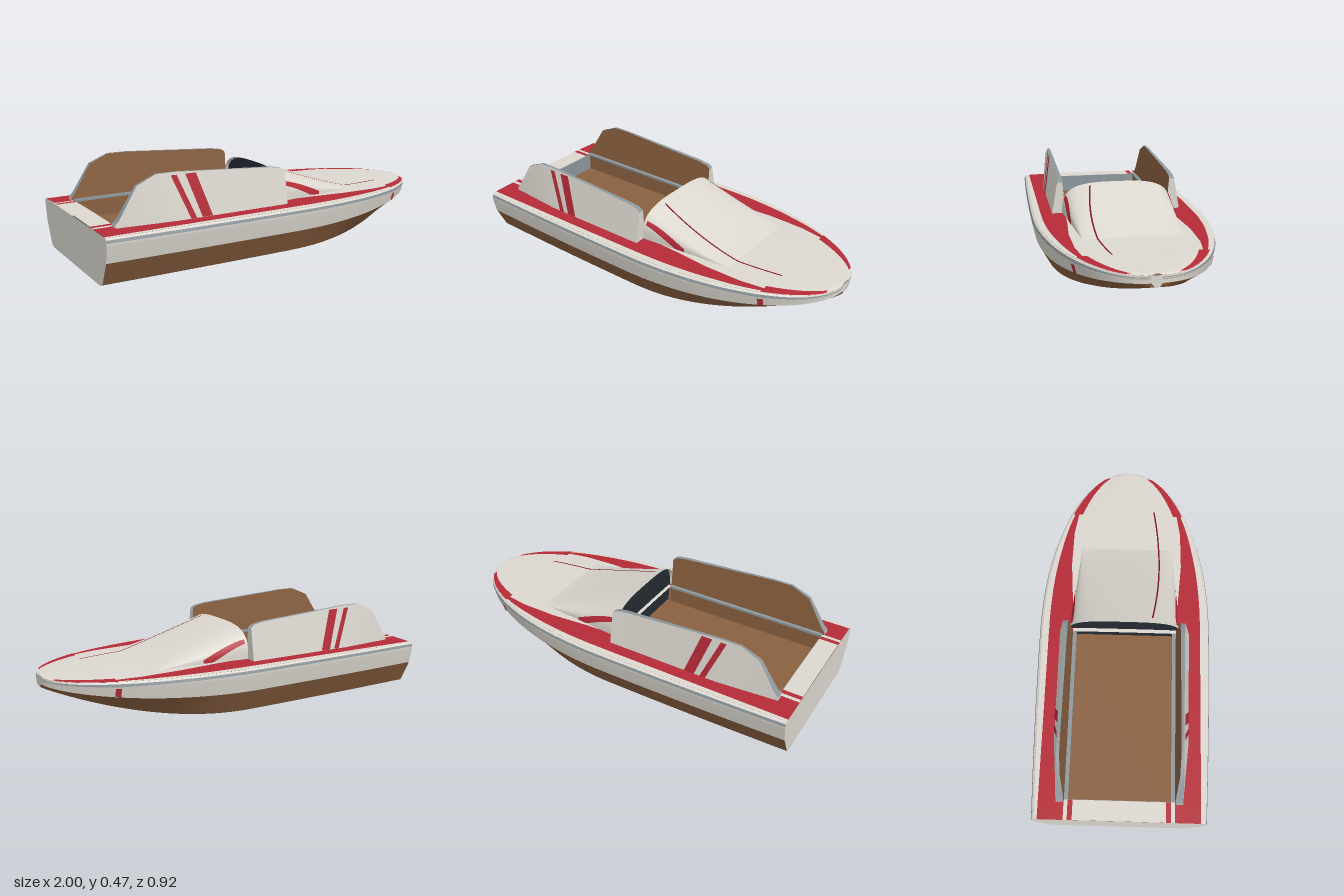
import * as THREE from 'three';

const mat = (name, color) => new THREE.MeshStandardMaterial({ name, color, side: THREE.DoubleSide });
const white = mat('white', 0xdcd8d0);
const red = mat('red', 0xb52b37);
const brown = mat('brown', 0x8a6040);
const grey = mat('blue grey', 0x8c979c);
const dark = mat('dark navy', 0x252b33);
const darkRed = mat('dark red', 0x7c1722);

const lerp = THREE.MathUtils.lerp;
const range = (a, b, n) => Array.from({ length: n + 1 }, (_, i) => lerp(a, b, i / n));

// Skin running along x: every edge is a function x => [y, z]
function sweep(name, material, xs, edges) {
  const g = new THREE.PlaneGeometry(1, 1, xs.length - 1, edges.length - 1);
  const p = g.attributes.position;
  edges.forEach((edge, r) => xs.forEach((x, i) => {
    const [y, z] = edge(x);
    p.setXYZ(r * xs.length + i, x, y, z);
  }));
  g.computeVertexNormals();
  const mesh = new THREE.Mesh(g, material);
  mesh.name = name;
  return mesh;
}

// Flat plate in the plane of constant x, from [z, y] points
function plate(name, material, x, pts) {
  const g = new THREE.ShapeGeometry(new THREE.Shape(pts.map(([z, y]) => new THREE.Vector2(z, y))));
  g.rotateY(-Math.PI / 2);
  g.translate(x, 0, 0);
  const mesh = new THREE.Mesh(g, material);
  mesh.name = name;
  return mesh;
}

function box(name, material, w, h, d, x, y, z) {
  const mesh = new THREE.Mesh(new THREE.BoxGeometry(w, h, d), material);
  mesh.position.set(x, y, z);
  mesh.name = name;
  return mesh;
}

// Piecewise linear lookup through [x, value] points
const table = (pts) => (x) => {
  let i = 1;
  while (i < pts.length - 1 && x > pts[i][0]) i++;
  const [a, b] = [pts[i - 1], pts[i]];
  return lerp(a[1], b[1], THREE.MathUtils.clamp((x - a[0]) / (b[0] - a[0]), 0, 1));
};

// Hull lines
const pos = (x) => Math.max(0, x);
const beam = (x) => x < 0 ? 0.46 - 0.02 * x * x : 0.025 + 0.435 * Math.pow(Math.max(0, 1 - Math.pow(x, 2.1)), 0.52);
const keel = (x) => 0.18 * Math.pow(pos(x), 2.2);
const chine = (x) => 0.128 + 0.07 * pos(x) ** 2;
const sheer = (x) => 0.245 - 0.012 * pos(x) ** 2;
const deckY = (x, z) => sheer(x) + 0.008 * (1 - Math.min(1, (z / beam(x)) ** 2));
const hullEdges = [
  (x) => [keel(x), 0],
  (x) => [keel(x), beam(x) * (0.76 - 0.4 * pos(x) ** 2)],
  (x) => [lerp(keel(x), chine(x), 0.1), beam(x) * (0.83 - 0.35 * pos(x) ** 2)],
  (x) => [chine(x), beam(x) * 0.96],
  (x) => [lerp(chine(x), sheer(x), 0.7), beam(x)],
  (x) => [sheer(x) - 0.022, beam(x)],
  (x) => [sheer(x) - 0.008, beam(x) * 0.99],
  (x) => [sheer(x), beam(x) * 0.965],
];
const hullXs = [...range(-1, 0, 8), ...range(0, Math.PI / 2, 32).slice(1).map(Math.sin)];

// Raised cowl in front of the cockpit
const N = 3.3;
const cowlW = (x) => 0.295 - 0.09 * x;
const cowlH = (x) => 0.163 * Math.pow(Math.max(0, 1 - x / 0.5), 1.08);
const cowlPoint = (x, a) => {
  const c = Math.cos(a), s = Math.sin(a);
  return [0.25 + cowlH(x) * Math.pow(Math.max(0, s), 2 / N), cowlW(x) * Math.sign(c) * Math.pow(Math.abs(c), 2 / N)];
};
const cowlZ = (x, y) => cowlW(x) * Math.pow(1 - Math.min(1, pos(y - 0.25) / cowlH(x)) ** N, 1 / N);
const topY = (x, z) => Math.max(deckY(x, z),
  x < 0.5 ? 0.25 + cowlH(x) * Math.pow(Math.max(0, 1 - Math.abs(z / cowlW(x)) ** N), 1 / N) : 0);

// Deck strips between lines of z
const onDeck = (zf) => (x) => [deckY(x, zf(x)), zf(x)];
const rim = (x) => beam(x) * 0.965;
function deckStrips(xs, lines, mats) {
  return mats.map((m, i) => sweep(m === red ? 'deckStripe' : 'deck', m, xs,
    [0, 0.25, 0.5, 0.75, 1].map((t) => onDeck((x) => lerp(lines[i](x), lines[i + 1](x), t)))));
}
const flat = (v) => () => v;

// Cockpit side panel
const panelTop = table([[-0.91, 0.265], [-0.89, 0.285], [-0.8, 0.43], [-0.7, 0.473], [-0.6, 0.473], [-0.08, 0.44], [-0.02, 0.43], [0, 0.415]]);
const panelBase = table([[-0.91, 0.32], [-0.6, 0.348], [0, 0.35]]);
const panelOut = (x, y) => lerp(panelBase(x), 0.309, (y - 0.245) / 0.23);
const panelIn = (y) => lerp(0.278, 0.296, (y - 0.245) / 0.23);
const panelXs = [-0.91, -0.89, -0.8, -0.7, -0.6, -0.4, -0.2, -0.08, -0.02, 0];

// Slanted stripe lying on the outside of a panel
function panelStripe(xTop, xBottom, w) {
  const g = new THREE.PlaneGeometry(1, 1, 1, 4);
  const p = g.attributes.position;
  for (let r = 0; r < 5; r++) for (let c = 0; c < 2; c++) {
    const y = lerp(0.46, 0.25, r / 4), x = lerp(xTop, xBottom, r / 4) + c * w;
    p.setXYZ(r * 2 + c, x, y, panelOut(x, y) + 0.003);
  }
  g.computeVertexNormals();
  const mesh = new THREE.Mesh(g, red);
  mesh.name = 'panelStripe';
  return mesh;
}

function buildSide() {
  const side = new THREE.Group();

  // Hull skins
  side.add(sweep('hullBottom', brown, hullXs, hullEdges.slice(0, 2)));
  side.add(sweep('bilge', brown, hullXs, hullEdges.slice(1, 3)));
  side.add(sweep('lowerHullSide', brown, hullXs, hullEdges.slice(2, 4)));
  side.add(sweep('upperHullSide', white, hullXs, hullEdges.slice(3, 6)));
  side.add(sweep('rubRail', grey, hullXs, hullEdges.slice(5, 7)));
  side.add(sweep('gunwale', white, hullXs, hullEdges.slice(6, 8)));
  const mark = (t) => (x) => [lerp(chine(x), sheer(x), t), beam(x) * lerp(0.96, 1, t / 0.7) + 0.004];
  side.add(sweep('hullMark', red, [0.715, 0.74], [mark(0.03), mark(0.6)]));

  // Deck with painted bands
  side.add(...deckStrips([-1, -0.95, -0.9], [flat(0), flat(0.235), flat(0.26), flat(0.28), flat(0.41), rim],
    [white, red, white, red, white]));
  side.add(...deckStrips(range(-0.9, 0, 6), [flat(0.27), flat(0.41), rim], [red, white]));
  const inner = table([[0, 0.28], [0.2, 0.29], [0.4, 0.305], [0.6, 0.3], [0.72, 0.28]]);
  const outer = (x) => Math.max(inner(x) + 0.005, beam(x) * table([[0, 0.89], [0.5, 0.9], [0.72, 0.92]])(x));
  side.add(...deckStrips(range(0, 0.72, 18), [flat(0), inner, outer, rim], [white, red, white]));
  const tip = range(Math.asin(0.72), Math.asin(0.965), 10).map(Math.sin);
  side.add(...deckStrips(tip, [flat(0), (x) => beam(x) * 0.79, (x) => beam(x) * 0.95, rim], [white, red, white]));
  side.add(...deckStrips(range(Math.asin(0.965), Math.PI / 2, 6).map(Math.sin), [flat(0), rim], [white]));

  // Side panel
  const outAt = (t) => (x) => { const y = lerp(0.245, panelTop(x), t); return [y, panelOut(x, y)]; };
  const inAt = (t) => (x) => { const y = lerp(0.245, panelTop(x), t); return [y, panelIn(y)]; };
  side.add(sweep('panelOutside', white, panelXs, [outAt(0), outAt(1)]));
  side.add(sweep('panelInside', brown, panelXs, [inAt(0), inAt(1)]));
  side.add(sweep('panelEdge', grey, panelXs, [outAt(1), inAt(1)]));
  for (const x of [-0.91, 0]) {
    side.add(plate('panelEnd', white, x, [outAt(0), outAt(1), inAt(1), inAt(0)].map((f) => f(x).reverse())));
  }
  side.add(panelStripe(-0.63, -0.545, 0.03), panelStripe(-0.555, -0.485, 0.055));

  // Cockpit wall and trim
  side.add(box('cockpitWall', brown, 0.9, 0.1, 0.01, -0.45, 0.2, 0.272));
  side.add(box('coamingTrim', grey, 0.9, 0.012, 0.02, -0.45, 0.252, 0.268));

  // Curved flash on the flank of the cowl
  const hi = (x) => 0.352 - 0.082 * Math.pow(x / 0.25, 1.4);
  const lo = (x) => Math.min(hi(x) - 0.004, Math.max(0.254, 0.333 - 0.08 * Math.pow(x / 0.2, 1.3)));
  side.add(sweep('cowlFlash', red, range(0.015, 0.25, 12), [0, 0.33, 0.67, 1].map((t) => (x) => {
    const y = lerp(lo(x), hi(x), t);
    return [y, cowlZ(x, y) + 0.004];
  })));
  return side;
}

export function createModel() {
  const model = new THREE.Group();
  model.name = 'speedboat';

  // Mirrored halves
  const left = buildSide();
  left.name = 'leftSide';
  const right = left.clone();
  right.name = 'rightSide';
  right.scale.z = -1;
  model.add(left, right);

  // Transom and blunt bow
  for (const [name, x] of [['transom', -1], ['bowCap', 1]]) {
    const half = hullEdges.slice(1).map((f) => f(x).reverse());
    model.add(plate(name, white, x, [...half, ...half.map(([z, y]) => [-z, y]).reverse()]));
  }

  // Cowl and dark bulkhead behind it
  const angles = range(0, Math.PI, 40);
  model.add(sweep('cowl', white, range(0, 0.5, 16), angles.map((a) => (x) => cowlPoint(x, a))));
  const arch = angles.map((a) => cowlPoint(0.02, a).reverse());
  model.add(plate('bulkhead', dark, 0.02, [[0.28, 0.15], ...arch, [-0.28, 0.15]]));

  // Cockpit tub
  model.add(box('cockpitFloor', brown, 0.92, 0.01, 0.54, -0.44, 0.15, 0));
  model.add(box('cockpitRearWall', grey, 0.01, 0.1, 0.54, -0.903, 0.2, 0));

  // Fine curved line over the cowl and foredeck
  const lineZ = (x) => 0.182 - 0.035 * ((x - 0.39) / 0.36) ** 2;
  model.add(sweep('cowlLine', darkRed, range(0.03, 0.74, 40), [-0.004, 0.004].map((d) => (x) => {
    const z = lineZ(x) + d;
    return [topY(x, z) + 0.004, z];
  })));
  return model;
}
